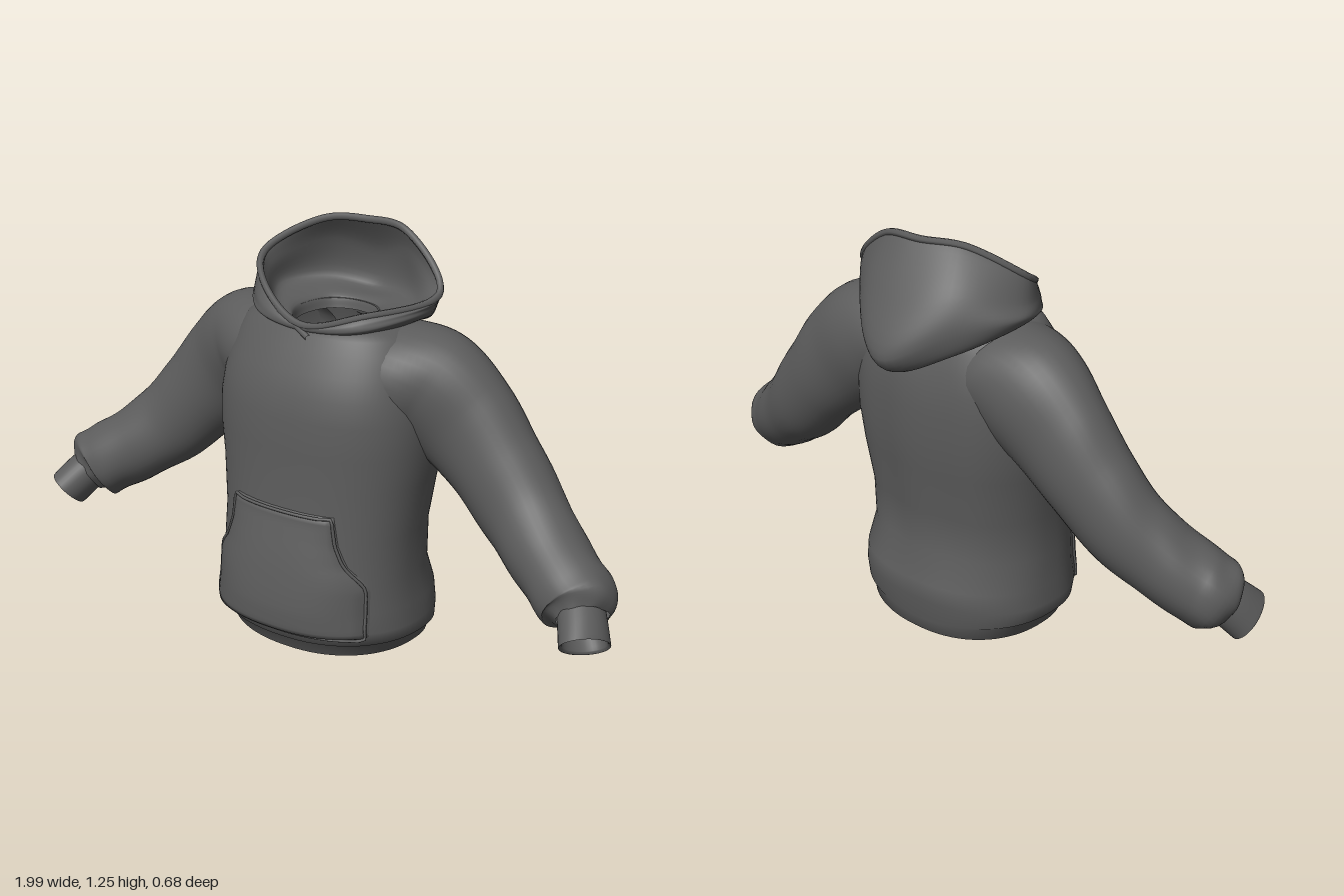
import * as THREE from 'three';

const fabric = new THREE.MeshStandardMaterial({ color: 0x5c5c5c, side: THREE.DoubleSide });
fabric.name = 'charcoal fabric';

const V = (x, y, z) => new THREE.Vector3(x, y, z);

// Skin a list of point rows; closed rows wrap round on themselves
function loft(name, rows, closed = true) {
  const n = rows[0].length, idx = [];
  for (let i = 0; i < rows.length - 1; i++) {
    for (let j = 0; j < (closed ? n : n - 1); j++) {
      const k = (j + 1) % n, a = i * n + j, b = i * n + k;
      idx.push(a, b, b + n, a, b + n, a + n);
    }
  }
  const g = new THREE.BufferGeometry().setFromPoints(rows.flat());
  g.setIndex(idx);
  g.computeVertexNormals();
  const mesh = new THREE.Mesh(g, fabric);
  mesh.name = name;
  return mesh;
}

function cord(name, points, radius, closed) {
  const path = new THREE.CatmullRomCurve3(points, closed, 'centripetal');
  const mesh = new THREE.Mesh(new THREE.TubeGeometry(path, 96, radius, 6, closed), fabric);
  mesh.name = name;
  return mesh;
}

// Linear lookup in a table keyed by its first column
function lookup(table, key) {
  let i = 0;
  while (i < table.length - 2 && table[i + 1][0] < key) i++;
  const a = table[i], b = table[i + 1];
  const t = THREE.MathUtils.clamp((key - a[0]) / (b[0] - a[0]), 0, 1);
  return a.map((v, k) => v + (b[k] - v) * t);
}

// Body sections: height, half width, front z, back z
const BODY = [
  [0.012, 0.305, 0.26, -0.205], [0.05, 0.313, 0.265, -0.21], [0.06, 0.336, 0.29, -0.214],
  [0.12, 0.337, 0.305, -0.225], [0.18, 0.327, 0.302, -0.228], [0.27, 0.318, 0.292, -0.187],
  [0.4, 0.315, 0.28, -0.195], [0.55, 0.333, 0.268, -0.22], [0.65, 0.345, 0.268, -0.231],
  [0.75, 0.345, 0.265, -0.235], [0.82, 0.335, 0.252, -0.231], [0.88, 0.32, 0.231, -0.22],
  [0.94, 0.3, 0.2, -0.2], [0.98, 0.275, 0.178, -0.182], [1.003, 0.235, 0.165, -0.165],
  [1.0, 0.12, 0.135, -0.12],
];
// Hem band turned up on the inside
const TURN_UP = [[0.1, 0.292, 0.247, -0.192], [0.013, 0.292, 0.247, -0.192]];
const POWER = 2.3;
const bend = (v) => Math.sign(v) * Math.abs(v) ** (2 / POWER);

function makeBody() {
  const rows = [...TURN_UP, ...BODY].map(([y, hw, zf, zb]) => Array.from({ length: 80 }, (_, j) => {
    const a = (j / 80) * Math.PI * 2, s = bend(Math.sin(a)), c = bend(Math.cos(a));
    // soft vertical folds down the back and a hem that rises at the sides
    const fold = c < 0 && y > 0.2 && y < 0.9 ? 0.005 * c * Math.cos(s * 9) : 0;
    const lift = y < 0.11 ? 0.022 * s * s + 0.008 * c : 0;
    return V(hw * s, y + lift, (zf + zb) / 2 + ((zf - zb) / 2) * c + fold);
  }));
  return loft('body', rows);
}

function bodyFront(x, y) {
  const [, hw, zf, zb] = lookup(BODY, y);
  const k = Math.max(0, 1 - Math.abs(x / hw) ** POWER) ** (1 / POWER);
  return (zf + zb) / 2 + ((zf - zb) / 2) * k;
}

// Pouch pocket: height, half width
const POCKET = [[0.1, 0.28], [0.26, 0.275], [0.29, 0.255], [0.33, 0.218], [0.39, 0.192], [0.48, 0.177]];

function makePocket() {
  const group = new THREE.Group(), rows = [], N = 32, M = 30;
  group.name = 'pocket';
  const at = (u, y, lift) => {
    const x = u * lookup(POCKET, y)[1] - 0.006;
    return V(x, y, bodyFront(x, y) + lift);
  };
  for (let i = 0; i <= M; i++) {
    const v = i / M, y = 0.1 + 0.38 * v;
    rows.push(Array.from({ length: N + 1 }, (_, j) => {
      const u = (j / N) * 2 - 1;
      const border = j === 0 || j === N || i === 0 || i === M;
      const puff = 0.024 * (1 - u ** 4) * Math.sin(Math.PI * Math.min(1, 0.22 + v * 0.85));
      return at(u, y, border ? -0.004 : 0.013 + puff);
    }));
  }
  group.add(loft('pouch', rows, false));
  // stitched border
  const edge = [];
  for (let i = 0; i <= 14; i++) edge.push(at(0.97, 0.107 + 0.366 * i / 14, 0.01));
  for (let i = 1; i < 10; i++) edge.push(at(0.97 - 1.94 * i / 10, 0.473, 0.014));
  for (let i = 14; i >= 0; i--) edge.push(at(-0.97, 0.107 + 0.366 * i / 14, 0.01));
  for (let i = 1; i < 10; i++) edge.push(at(-0.97 + 1.94 * i / 10, 0.107, 0.018));
  group.add(cord('pocketBorder', edge, 0.005, true));
  return group;
}

// Sleeve sections: centre x, y, z, radius across, radius front to back
const SLEEVE = [
  [0.13, 0.865, -0.005, 0.125, 0.17], [0.23, 0.85, -0.02, 0.16, 0.176], [0.32, 0.812, -0.04, 0.185, 0.152],
  [0.42, 0.735, -0.05, 0.172, 0.128], [0.53, 0.625, -0.045, 0.148, 0.12], [0.64, 0.51, -0.022, 0.134, 0.115],
  [0.74, 0.43, 0.02, 0.12, 0.115], [0.83, 0.37, 0.06, 0.115, 0.115], [0.88, 0.338, 0.085, 0.113, 0.11],
  [0.902, 0.315, 0.11, 0.07, 0.075],
];
const CUFF = [
  [0.885, 0.34, 0.09, 0.064, 0.072], [0.915, 0.3, 0.128, 0.064, 0.078], [0.941, 0.262, 0.162, 0.062, 0.084],
  [0.938, 0.267, 0.157, 0.054, 0.075], [0.9, 0.32, 0.11, 0.054, 0.062],
];

function tube(name, sections, steps, side, axis, folds) {
  const path = new THREE.CatmullRomCurve3(sections.map((s) => V(s[0], s[1], s[2])));
  const radii = new THREE.CatmullRomCurve3(sections.map((s) => V(s[3], s[4], 0)));
  const rows = [];
  for (let i = 0; i <= steps; i++) {
    const t = i / steps, p = path.getPoint(t), r = radii.getPoint(t);
    const T = axis ? axis.clone() : path.getTangent(t);
    const across = V(0, 0, 1).addScaledVector(T, -T.z).normalize();
    const up = across.clone().cross(T);
    const row = Array.from({ length: 36 }, (_, j) => {
      const a = (j / 36) * Math.PI * 2;
      // slanting creases that deepen towards the wrist, then gathers
      const k = 1 + folds * t * t * Math.sin(t * 40 + 3 * Math.sin(a + 0.6)) * (0.6 + 0.4 * Math.cos(a * 2 + 1))
        + folds * t ** 8 * Math.sin(a * 7);
      const q = p.clone().addScaledVector(up, Math.cos(a) * r.x * k).addScaledVector(across, Math.sin(a) * r.y * k);
      q.x *= side;
      return q;
    });
    rows.push(side < 0 ? row.reverse() : row);
  }
  return loft(name, rows);
}

function makeArm(side) {
  const group = new THREE.Group();
  group.name = side > 0 ? 'leftArm' : 'rightArm';
  group.add(tube('sleeve', SLEEVE, 60, side, null, 0.035));
  group.add(tube('cuff', CUFF, 20, side, V(0.5, -0.68, 0.53).normalize(), 0));
  return group;
}

// Hood rings run from the front round the left, back and right
const ring = (...p) => new THREE.CatmullRomCurve3(p.map((q) => V(...q)), true, 'centripetal');
const mirrored = (f, a, s, b, k) => {
  const m = ([x, y, z]) => [-x, y, z];
  return ring(f, a, s, b, k, m(b), m(s), m(a));
};

function makeHood() {
  const group = new THREE.Group();
  group.name = 'hood';
  const rim = ring([0, 1.005, 0.17], [0.17, 1.045, 0.12], [0.298, 1.085, -0.09], [0.13, 1.228, -0.165],
    [0, 1.238, -0.165], [-0.12, 1.233, -0.115], [-0.25, 1.145, 0.0], [-0.18, 1.085, 0.105]);
  const rings = [
    mirrored([0, 0.985, 0.165], [0.16, 0.995, 0.135], [0.24, 1.0, -0.02], [0.16, 0.97, -0.16], [0, 0.94, -0.17]),
    mirrored([0, 0.99, 0.175], [0.18, 1.01, 0.14], [0.285, 1.03, -0.03], [0.17, 0.95, -0.22], [0, 0.88, -0.295]),
    mirrored([0, 0.995, 0.178], [0.18, 1.025, 0.137], [0.295, 1.05, -0.06], [0.18, 1.02, -0.235], [0, 0.93, -0.345]),
    ring([0, 1.0, 0.178], [0.18, 1.035, 0.13], [0.303, 1.07, -0.08], [0.17, 1.12, -0.215],
      [0, 1.09, -0.272], [-0.17, 1.12, -0.2], [-0.275, 1.08, -0.03], [-0.187, 1.05, 0.125]),
    rim,
    // lining, following the shell down to the neck
    ring([0, 0.998, 0.155], [0.15, 1.035, 0.1], [0.27, 1.075, -0.085], [0.13, 1.16, -0.185],
      [0, 1.13, -0.225], [-0.13, 1.16, -0.16], [-0.235, 1.1, -0.01], [-0.16, 1.055, 0.095]),
    mirrored([0, 0.99, 0.148], [0.13, 1.015, 0.1], [0.225, 1.035, -0.05], [0.14, 1.04, -0.17], [0, 1.02, -0.225]),
    mirrored([0, 0.985, 0.14], [0.09, 1.0, 0.09], [0.125, 1.005, 0], [0.09, 1.006, -0.1], [0, 1.006, -0.13]),
    mirrored([0, 0.97, 0.135], [0.085, 0.97, 0.09], [0.112, 0.97, 0], [0.08, 0.97, -0.09], [0, 0.97, -0.118]),
  ];
  // smooth the surface across the rings, column by column
  const cols = Array.from({ length: 64 }, (_, j) =>
    new THREE.CatmullRomCurve3(rings.map((r) => r.getPoint(j / 64)), false, 'centripetal').getPoints(48));
  group.add(loft('hoodShell', cols[0].map((_, i) => cols.map((c) => c[i]))));
  group.add(cord('hoodRim', rim.getPoints(40).slice(0, -1), 0.011, true));
  // crossed front of the collar
  group.add(cord('collarOverlap', [V(-0.1, 1.03, 0.15), V(-0.02, 1.0, 0.17), V(0.03, 0.975, 0.18)], 0.009, false));
  return group;
}

export function createModel() {
  const model = new THREE.Group();
  model.name = 'hoodedSweatshirt';
  model.add(makeBody(), makePocket(), makeHood(), makeArm(1), makeArm(-1));
  return model;
}
